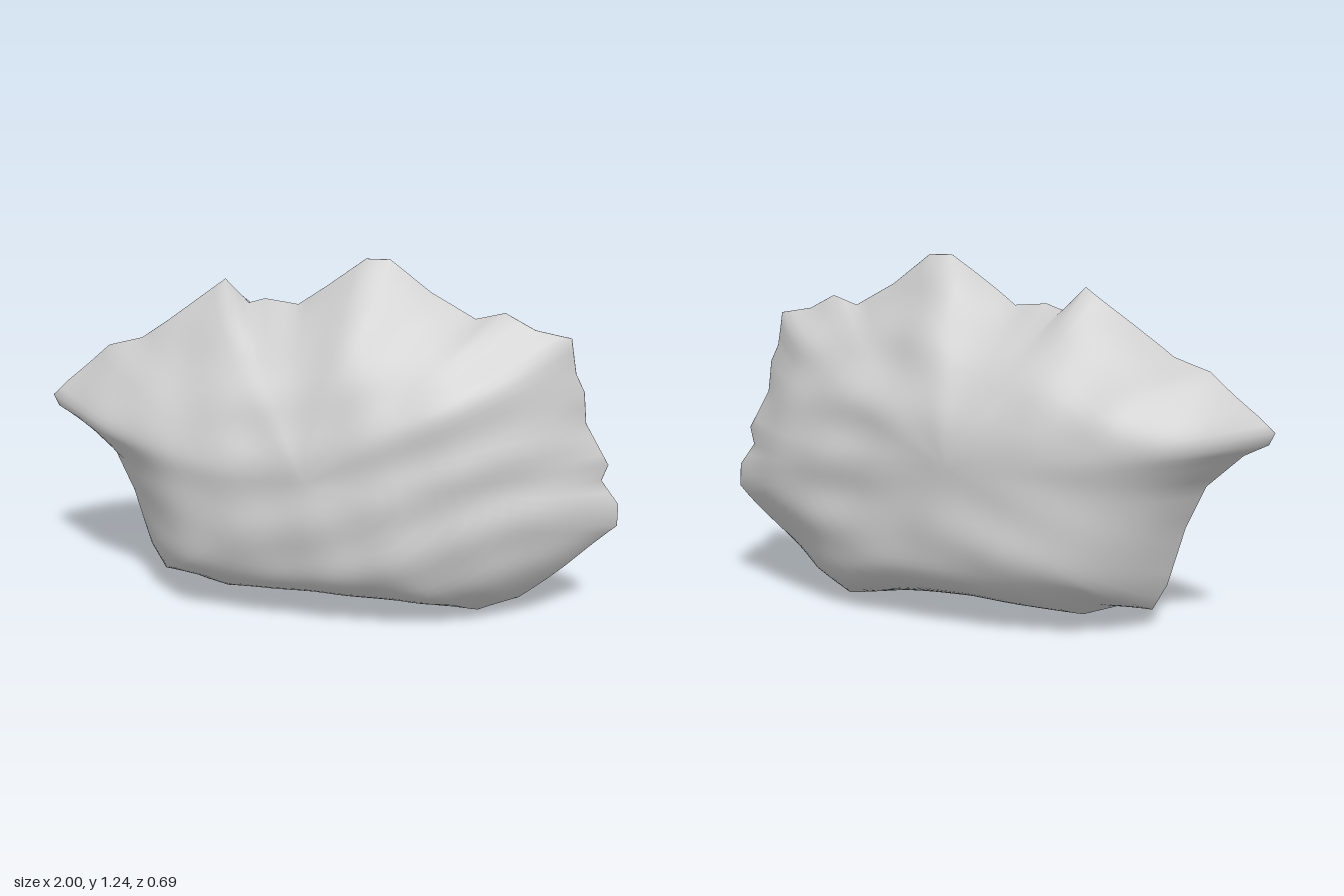
import * as THREE from 'three';

// Rim of the slab-like boulder, clockwise from its left-hand point (x, y)
const RIM = [
  -1, .69, -.95, .74, -.88, .80, -.79, .88, -.66, .92, -.56, .99, -.44, 1.08, -.36, 1.14,
  -.28, 1.06, -.22, 1.08, -.1, 1.07, 0, 1.14, .13, 1.235, .21, 1.235, .35, 1.13, .5, 1.05,
  .6, 1.08, .7, 1.03, .82, 1.01, .84, .89, .87, .83, .88, .72, .96, .58, .94, .52,
  1, .44, 1, .36, .84, .21, .68, .07, .54, 0, .32, .03, 0, .04, -.22, .03,
  -.36, .02, -.48, .06, -.6, .06, -.65, .15, -.71, .35, -.78, .5, -.9, .61, -.98, .65,
];
const CENTRE = new THREE.Vector2(0, .55);
const RINGS = 24;

// Evenly subdivided rim
function rimPoints() {
  const corners = [];
  for (let i = 0; i < RIM.length; i += 2) corners.push(new THREE.Vector2(RIM[i], RIM[i + 1]));
  const points = [];
  corners.forEach((a, i) => {
    const b = corners[(i + 1) % corners.length];
    const n = Math.max(1, Math.round(a.distanceTo(b) / .045));
    for (let k = 0; k < n; k++) points.push(a.clone().lerp(b, k / n));
  });
  return points;
}

// Softer rim that guides the inner rings
function soften(points, passes) {
  let p = points;
  for (let k = 0; k < passes; k++) {
    const n = p.length, q = p;
    p = q.map((v, i) => v.clone().multiplyScalar(2)
      .add(q[(i + 1) % n]).add(q[(i + n - 1) % n]).multiplyScalar(.25));
  }
  return p;
}

// Weathered lumps and layered ledges
function lumps(x, y, side) {
  const w = side * 1.7;
  const broad = Math.sin(6 * x + 4 * y + w) * Math.sin(7 * y - 3 * x + 2 * w);
  const fine = Math.sin(17 * x - 9 * y + w) * Math.sin(15 * y + 8 * x - w);
  const ledge = Math.sin(30 * y - 5 * x + 2 * Math.sin(4 * x + w));
  return .012 * broad + .007 * fine + .006 * ledge * (.4 + .6 * THREE.MathUtils.smoothstep(x, 0, .6));
}

// Depth of a face: a wedge towards the top, blunt underneath, rounded at the ends
function depth(x, y, s, side) {
  const u = x - CENTRE.x, v = (y - CENTRE.y) / .6;
  const up = v * v / (u * u + v * v + 1e-6);
  const power = THREE.MathUtils.lerp(u < 0 ? 3.8 : 3, v > 0 ? 2 : 6.5, up);
  const base = .335 - .035 * THREE.MathUtils.smoothstep(x, -.1, .6);
  return side * (base * (1 - s ** power) + lumps(x, y, side) * (1 - s ** 8));
}

function boulderGeometry() {
  const rim = rimPoints(), soft = soften(rim, 14), n = rim.length;
  const position = [], index = [];

  // The shared rim wanders a little in z
  rim.forEach((p) => position.push(p.x, p.y, .015 * Math.sin(9 * p.x + 7 * p.y)));

  for (const side of [1, -1]) {
    const rings = [];
    for (let r = 1; r < RINGS; r++) {
      const s = Math.cos(r / RINGS * Math.PI / 2);
      rings.push(position.length / 3);
      for (let i = 0; i < n; i++) {
        const p = soft[i].clone().lerp(rim[i], s ** 6).sub(CENTRE).multiplyScalar(s).add(CENTRE);
        const z = depth(p.x, p.y, s, side) + .015 * Math.sin(9 * p.x + 7 * p.y) * s ** 8;
        position.push(p.x, p.y, z);
      }
    }
    const tip = position.length / 3;
    position.push(CENTRE.x, CENTRE.y, depth(CENTRE.x, CENTRE.y, 0, side));

    const face = (a, b, c) => (side > 0 ? index.push(a, c, b) : index.push(a, b, c));
    const starts = [0, ...rings];
    for (let i = 0; i < n; i++) {
      const j = (i + 1) % n;
      for (let r = 0; r < starts.length - 1; r++) {
        const a = starts[r], b = starts[r + 1];
        face(a + i, b + i, a + j);
        face(a + j, b + i, b + j);
      }
      const last = starts[starts.length - 1];
      face(last + i, tip, last + j);
    }
  }

  const g = new THREE.BufferGeometry();
  g.setAttribute('position', new THREE.Float32BufferAttribute(position, 3));
  // The rim runs clockwise seen from the front
  for (let i = 0; i < index.length; i += 3) [index[i + 1], index[i + 2]] = [index[i + 2], index[i + 1]];
  g.setIndex(index);
  orientOutward(g);
  g.computeVertexNormals();
  return g;
}

// Turns the whole shell outward if its signed volume is negative
function orientOutward(g) {
  const p = g.attributes.position, ix = g.index.array;
  const [a, b, c] = [0, 1, 2].map(() => new THREE.Vector3());
  let volume = 0;
  for (let i = 0; i < ix.length; i += 3) {
    a.fromBufferAttribute(p, ix[i]);
    b.fromBufferAttribute(p, ix[i + 1]);
    c.fromBufferAttribute(p, ix[i + 2]);
    volume += a.dot(b.cross(c));
  }
  if (volume < 0) for (let i = 0; i < ix.length; i += 3) [ix[i + 1], ix[i + 2]] = [ix[i + 2], ix[i + 1]];
}

export function createModel() {
  const group = new THREE.Group();
  group.name = 'rock';
  const boulder = new THREE.Mesh(boulderGeometry(), new THREE.MeshStandardMaterial({ color: 0xcccccc }));
  boulder.name = 'boulder';
  group.add(boulder);
  return group;
}
